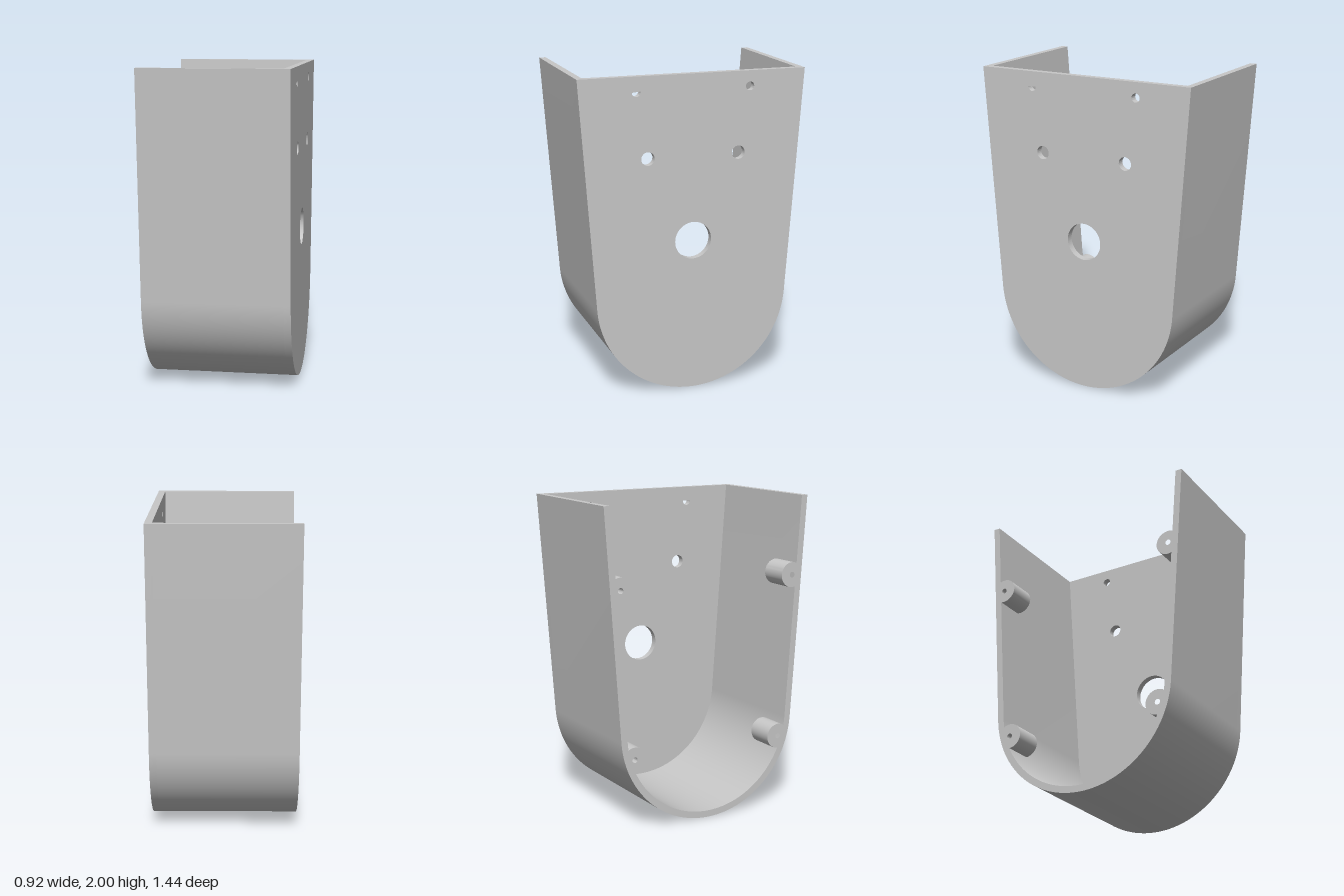
import * as THREE from 'three';
import { toCreasedNormals } from 'three/addons/utils/BufferGeometryUtils.js';

const TOP = 2, CENTRE = 0.62, TAPER = 0.0716;      // height, arc centre height, side slope (radians)
const OUTER = 0.62, INNER = 0.578;                 // arc radii of the wall
const OPEN = -0.46, PLATE = 0.415, CLOSED = 0.46;  // x of open edge, plate inside, plate outside

// Half width of the tapered U of arc radius r at height y
function halfWidth(r, y) {
  const tangentY = CENTRE - r * Math.sin(TAPER);
  if (y >= tangentY) return r * Math.cos(TAPER) + (y - tangentY) * Math.tan(TAPER);
  return Math.sqrt(Math.max(0, r * r - (y - CENTRE) ** 2));
}

// Extrude a side profile (drawn in -z, y) along x
function extrudeX(shape, x0, x1, curveSegments = 64) {
  const g = new THREE.ExtrudeGeometry(shape, { depth: x1 - x0, bevelEnabled: false, curveSegments });
  g.rotateY(Math.PI / 2);
  g.translate(x0, 0, 0);
  return toCreasedNormals(g, 0.5);
}

function addHole(shape, u, v, r) {
  const hole = new THREE.Path();
  hole.absarc(u, v, r, 0, Math.PI * 2, true);
  shape.holes.push(hole);
}

export function createModel() {
  const group = new THREE.Group();
  const grey = new THREE.MeshStandardMaterial({ color: 0xc8c8c8 });
  grey.name = 'grey';
  const add = (name, geometry) => {
    const mesh = new THREE.Mesh(geometry, grey);
    mesh.name = name;
    group.add(mesh);
  };
  const a0 = Math.PI + TAPER, a1 = 2 * Math.PI - TAPER;
  const wo = halfWidth(OUTER, TOP), wi = halfWidth(INNER, TOP);

  // U-shaped wall, open at the top and on one side
  const wall = new THREE.Shape();
  wall.absarc(0, CENTRE, OUTER, a0, a1, false);
  wall.lineTo(wo, TOP);
  wall.lineTo(wi, TOP);
  wall.absarc(0, CENTRE, INNER, a1, a0, true);
  wall.lineTo(-wi, TOP);
  wall.lineTo(-wo, TOP);
  wall.closePath();
  add('wall', extrudeX(wall, OPEN, PLATE));

  // Closing plate with its five holes
  const plate = new THREE.Shape();
  plate.absarc(0, CENTRE, OUTER, a0, a1, false);
  plate.lineTo(wo, TOP);
  plate.lineTo(-wo, TOP);
  plate.closePath();
  addHole(plate, 0, 0.967, 0.117);
  for (const s of [-1, 1]) {
    addHole(plate, s * 0.29, 1.5, 0.042);
    addHole(plate, s * 0.361, 1.905, 0.027);
  }
  add('facePlate', extrudeX(plate, PLATE, CLOSED));

  // Screw bosses, trimmed where they run into the wall
  for (const s of [-1, 1]) {
    for (const [name, z, y] of [['upperBoss', 0.615, 1.5], ['lowerBoss', 0.526, 0.455]]) {
      const points = [];
      for (let i = 0; i < 48; i++) {
        const t = (i / 48) * Math.PI * 2;
        const v = y + 0.08 * Math.sin(t);
        const u = Math.min(z + 0.08 * Math.cos(t), halfWidth(INNER, v) + 0.003);
        points.push(new THREE.Vector2(s * u, v));
      }
      const boss = new THREE.Shape(points);
      addHole(boss, s * z, y, 0.018);
      add(name, extrudeX(boss, OPEN, -0.276, 12));
    }
  }
  return group;
}
